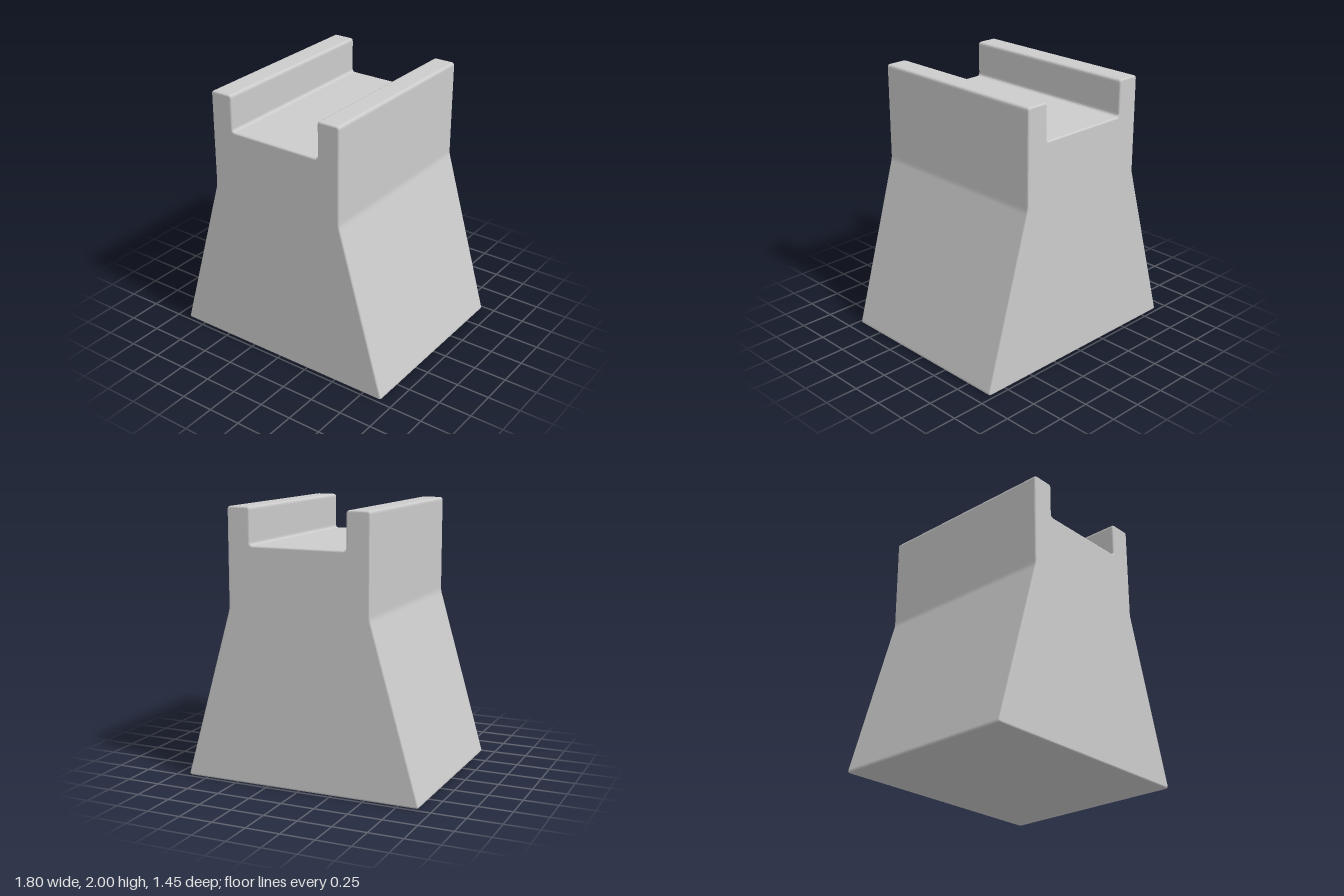
import * as THREE from 'three';

// Closed outline with each corner eased by a short curve of reach r
function easedOutline(corners, r) {
  const shape = new THREE.Shape();
  const n = corners.length;
  corners.forEach((c, i) => {
    const towards = (p) => c.clone().add(p.clone().sub(c).setLength(r));
    const a = towards(corners[(i + n - 1) % n]);
    const b = towards(corners[(i + 1) % n]);
    if (i === 0) shape.moveTo(a.x, a.y);
    else shape.lineTo(a.x, a.y);
    shape.quadraticCurveTo(c.x, c.y, b.x, b.y);
  });
  shape.closePath();
  return shape;
}

export function createModel() {
  const group = new THREE.Group();
  group.name = 'slottedStand';

  // Right half of the profile: flared foot, upright cheek, slot floor
  const half = [[0.907, 0], [0.54, 1.275], [0.54, 2], [0.365, 2], [0.365, 1.73]];
  const mirrored = half.map(([x, y]) => [-x, y]).reverse();
  const corners = [...half, ...mirrored].map(([x, y]) => new THREE.Vector2(x, y));

  // Extruded front to back, with a fine rounded edge on both end faces
  const halfDepth = 0.725;
  const bevel = 0.013;
  const geometry = new THREE.ExtrudeGeometry(easedOutline(corners, 0.024), {
    depth: 2 * (halfDepth - bevel),
    curveSegments: 4,
    bevelEnabled: true,
    bevelThickness: bevel,
    bevelSize: bevel,
    bevelOffset: -bevel,
    bevelSegments: 4,
  });
  geometry.translate(0, 0, -(halfDepth - bevel));

  const body = new THREE.Mesh(geometry, new THREE.MeshStandardMaterial({ color: 0xcccccc }));
  body.name = 'standBody';
  group.add(body);
  return group;
}
